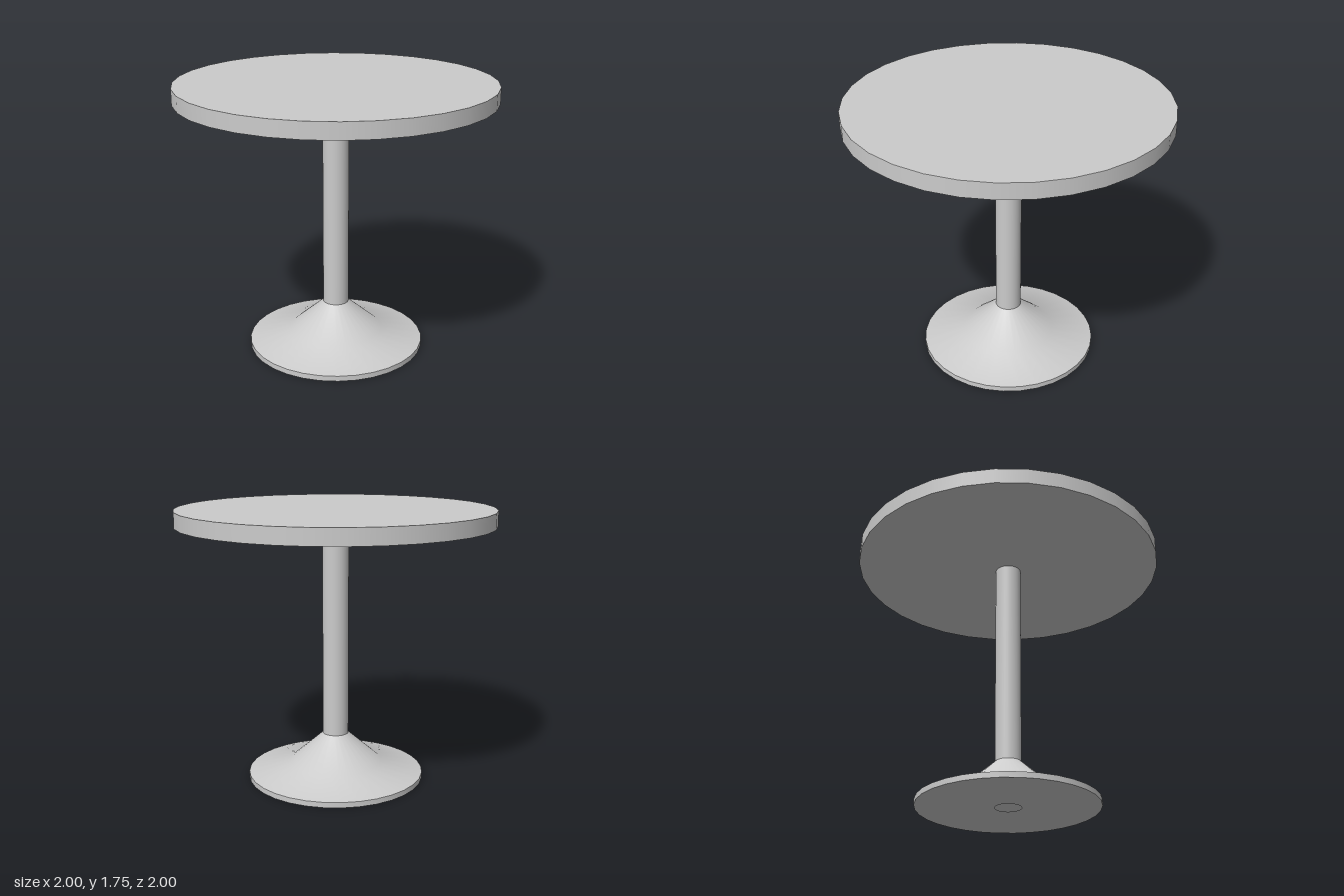
import * as THREE from 'three';
import { toCreasedNormals } from 'three/addons/utils/BufferGeometryUtils.js';

const SIDES = 32;
const COLUMN_RADIUS = 0.083;

export function createModel() {
  const group = new THREE.Group();
  group.name = 'pedestalTable';
  const material = new THREE.MeshStandardMaterial({ color: 0xcccccc });

  const add = (name, geometry, y, mat = material) => {
    const mesh = new THREE.Mesh(geometry, mat);
    mesh.name = name;
    mesh.position.y = y;
    group.add(mesh);
  };

  // Round table top
  add('tableTop', new THREE.CylinderGeometry(1, 1, 0.1, SIDES), 1.705);

  // Straight column between base and top
  const bottom = 0.29, top = 1.655;
  add('column', new THREE.CylinderGeometry(COLUMN_RADIUS, COLUMN_RADIUS, top - bottom, SIDES), (bottom + top) / 2);

  // Flared base: flat underside with a central hole, thin rim, two slopes
  const profile = [
    [COLUMN_RADIUS, 0], [0.57, 0], [0.57, 0.035], [0.3, 0.1], [COLUMN_RADIUS, bottom],
  ].map(([r, y]) => new THREE.Vector2(r, y));
  const baseMaterial = material.clone();
  baseMaterial.side = THREE.DoubleSide;
  add('base', toCreasedNormals(new THREE.LatheGeometry(profile, SIDES), 0.6), 0, baseMaterial);

  return group;
}
